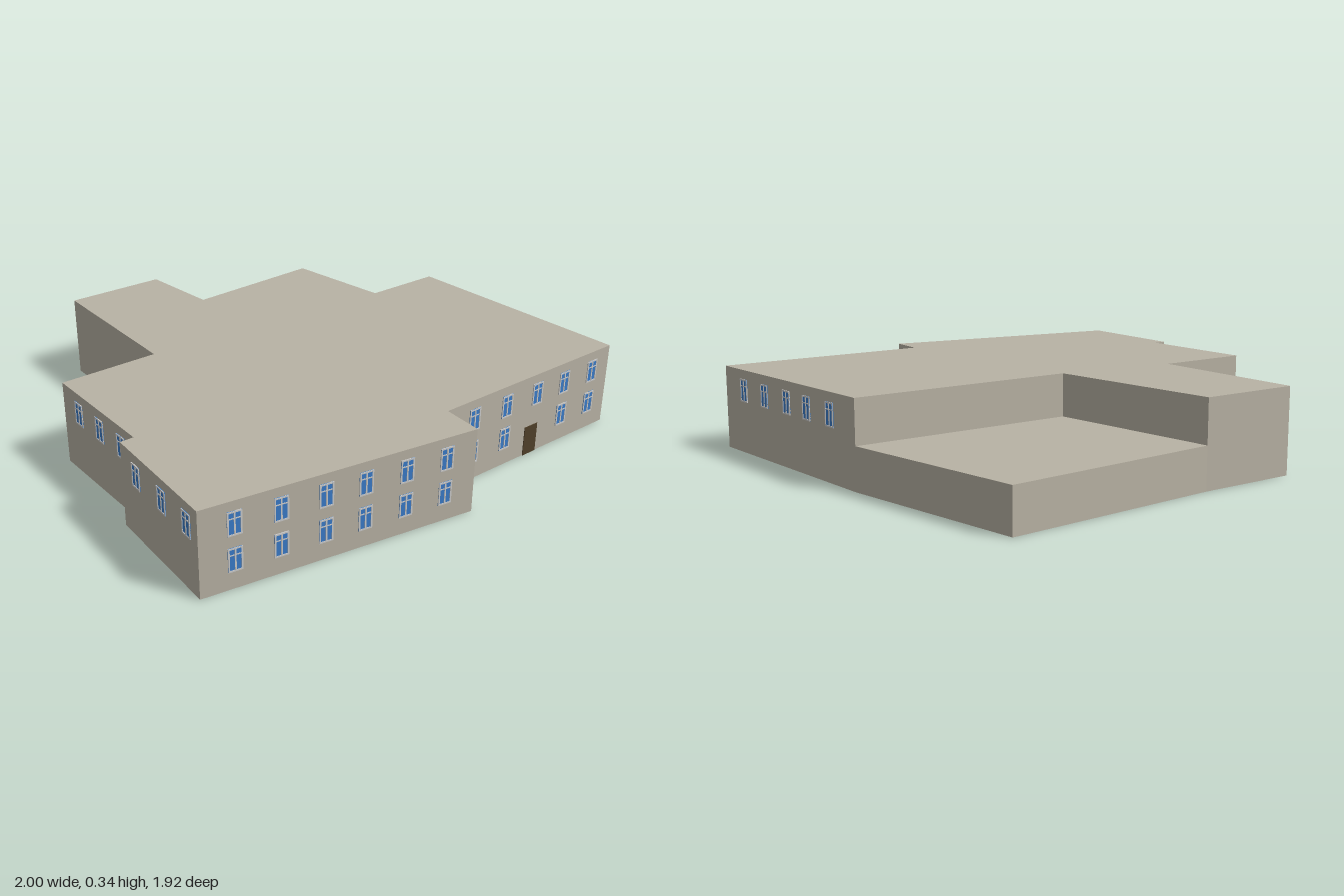
import * as THREE from 'three';

const paint = (color) => new THREE.MeshStandardMaterial({ color });
const wallMat = paint(0xb8b2a4);
const frameMat = paint(0xf0f0f0);
const glassMat = paint(0x3a7bc8);
const doorMat = paint(0x50402a);

const FULL = 0.345, LOW = 0.17;
const WIN_W = 0.055, WIN_H = 0.094;

// Vertical prism standing on y = 0 over an [x, z] outline
function block(name, outline, height) {
  const shape = new THREE.Shape(outline.map(([x, z]) => new THREE.Vector2(x, -z)));
  const geometry = new THREE.ExtrudeGeometry(shape, { depth: height, bevelEnabled: false });
  geometry.rotateX(-Math.PI / 2);
  const mesh = new THREE.Mesh(geometry, wallMat);
  mesh.name = name;
  return mesh;
}

function box(name, w, h, d, x, y, z, material) {
  const mesh = new THREE.Mesh(new THREE.BoxGeometry(w, h, d), material);
  mesh.position.set(x, y, z);
  mesh.name = name;
  return mesh;
}

// Window centred on its origin, facing +z
function makeWindow() {
  const g = new THREE.Group();
  const t = 0.006, d = 0.004;
  g.name = 'window';
  g.add(box('pane', WIN_W, WIN_H, 0.002, 0, 0, 0.001, glassMat));
  for (const s of [-1, 1]) {
    g.add(box('frameSide', t, WIN_H, d, s * (WIN_W - t) / 2, 0, d / 2, frameMat));
    g.add(box('frameRail', WIN_W - 2 * t, t, d, 0, s * (WIN_H - t) / 2, d / 2, frameMat));
  }
  g.add(box('mullion', t, WIN_H - 2 * t, d, 0, 0, d / 2, frameMat));
  g.add(box('transom', WIN_W - 2 * t, t * 0.7, d * 0.9, 0, WIN_H * 0.2, d * 0.45, frameMat));
  return g;
}

// Place an item on the wall from a to b (left to right seen from outside), t along it
function mount(parent, item, [ax, az], [bx, bz], t, y) {
  item.position.set(ax + (bx - ax) * t, y, az + (bz - az) * t);
  item.rotation.y = Math.atan2(az - bz, bx - ax);
  parent.add(item);
}

export function createModel() {
  const model = new THREE.Group();
  model.name = 'building';

  // Two-storey main volume and the low rear annex
  const backMid = [-0.085, -0.925], inner = [0, -0.195], sideMid = [0.93, -0.185];
  const frontRight = [1, 0.8], stepIn = [0.09, 0.8], stepOut = [0.08, 0.96];
  const frontLeft = [-1, 0.79], notchOut = [-0.97, 0.265];
  const notchIn = [-0.915, 0.265], sideBack = [-0.915, -0.26];
  model.add(block('mainBuilding', [
    frontLeft, stepOut, stepIn, frontRight, sideMid, inner, backMid,
    [-0.5, -0.935], [-0.507, -0.26], sideBack, notchIn, notchOut,
  ], FULL));
  model.add(block('rearAnnex', [inner, sideMid, [0.8, -0.965], backMid], LOW));

  // Window rows: wall ends, axis of the listed centres (0 = x, 1 = z), centres, heights
  const upper = 0.26, lower = 0.118;
  const rows = [
    [frontLeft, stepOut, 0, [-0.87, -0.7, -0.53, -0.375, -0.21, -0.045], [upper, lower]],
    [stepIn, frontRight, 0, [0.235, 0.41, 0.735, 0.9], [upper, lower]],
    [stepIn, frontRight, 0, [0.58], [upper]],
    [frontRight, sideMid, 1, [0.645, 0.475, 0.3, 0.15, -0.015], [upper]],
    [sideBack, notchIn, 1, [-0.14, 0.015, 0.17], [upper]],
    [notchOut, frontLeft, 1, [0.375, 0.555, 0.72], [upper]],
  ];
  const windows = new THREE.Group();
  windows.name = 'windows';
  for (const [a, b, axis, centres, heights] of rows)
    for (const c of centres)
      for (const y of heights)
        mount(windows, makeWindow(), a, b, (c - a[axis]) / (b[axis] - a[axis]), y);
  model.add(windows);

  // Entrance door
  const door = box('door', 0.07, 0.125, 0.006, 0, 0, 0, doorMat);
  mount(model, door, stepIn, frontRight, (0.56 - 0.09) / 0.91, 0.0625);

  return model;
}
